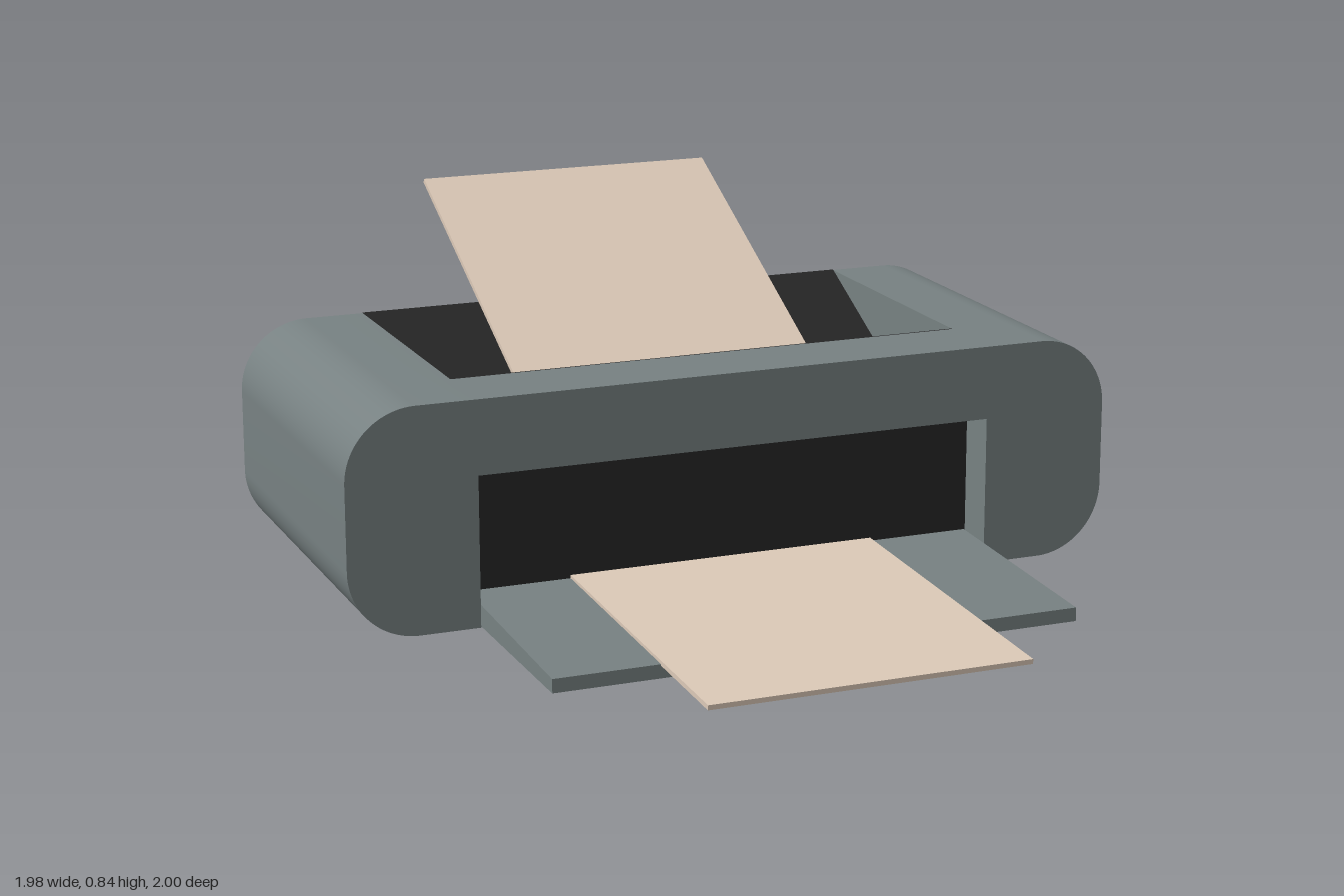
import * as THREE from 'three';
import { toCreasedNormals } from 'three/addons/utils/BufferGeometryUtils.js';

export function createModel() {
  const grey = new THREE.MeshStandardMaterial({ color: 0x778182 });
  grey.name = 'casing grey';
  const black = new THREE.MeshStandardMaterial({ color: 0x262626 });
  black.name = 'inner black';
  const cream = new THREE.MeshStandardMaterial({ color: 0xdcc9b7 });
  cream.name = 'paper cream';

  const model = new THREE.Group();
  model.name = 'printer';
  const add = (name, geometry, material) => {
    const mesh = new THREE.Mesh(geometry, material);
    mesh.name = name;
    model.add(mesh);
    return mesh;
  };

  const W = 0.99, H = 0.56, R = 0.175, inner = 0.665, back = -0.7, front = 0.23;

  // Extrudes a [z, y] side profile across the width
  const acrossWidth = (points, halfWidth) => {
    const shape = new THREE.Shape(points.map(([z, y]) => new THREE.Vector2(-z, y)));
    const geo = new THREE.ExtrudeGeometry(shape, { depth: halfWidth * 2, bevelEnabled: false });
    return geo.translate(0, 0, -halfWidth).rotateY(Math.PI / 2);
  };

  // Thin plate or sheet running between two [z, y] points
  const sheet = (name, a, b, width, thickness, material) => {
    const dz = b[0] - a[0], dy = b[1] - a[1];
    const mesh = add(name, new THREE.BoxGeometry(width, thickness, Math.hypot(dz, dy)), material);
    mesh.position.set(0, (a[1] + b[1]) / 2, (a[0] + b[0]) / 2);
    mesh.rotation.x = -Math.atan2(dy, dz);
  };

  // Rounded casing ends
  for (const s of [-1, 1]) {
    const end = new THREE.Shape();
    end.moveTo(s * inner, 0);
    end.lineTo(s * (W - R), 0);
    end.absarc(s * (W - R), R, R, -Math.PI / 2, s > 0 ? 0 : -Math.PI, s < 0);
    end.lineTo(s * W, H - R);
    end.absarc(s * (W - R), H - R, R, s > 0 ? 0 : Math.PI, Math.PI / 2, s < 0);
    end.lineTo(s * inner, H);
    const geo = new THREE.ExtrudeGeometry(end, { depth: front - back, bevelEnabled: false, curveSegments: 14 });
    geo.translate(0, 0, back);
    add(s > 0 ? 'leftCasing' : 'rightCasing', toCreasedNormals(geo, 0.5), grey);
  }

  // Middle casing with the V-shaped feed well and the front recess
  const valley = [-0.105, 0.262], wellFront = [0.03, H], recess = 0.12, recessTop = 0.375;
  add('middleCasing', acrossWidth([
    [back, 0], [back, H], valley, wellFront, [front, H],
    [front, recessTop], [recess, recessTop], [recess, 0],
  ], inner), grey);

  // Dark linings
  sheet('feedSlope', [back, H], valley, inner * 2, 0.004, black);
  sheet('feedStop', valley, wellFront, inner * 2, 0.004, black);
  sheet('recessBack', [recess, 0.03], [recess, recessTop], inner * 2, 0.004, black);

  // Output tray, slightly sloping to the front
  add('outputTray', acrossWidth([[recess, 0], [recess, 0.058], [0.72, 0.034], [0.72, 0]], 0.662), grey);

  // Paper sheets
  sheet('inputPaper', [-0.997, 0.833], [-0.073, 0.362], 0.8, 0.012, cream);
  sheet('outputPaper', [recess, 0.06], [1, 0.025], 0.8, 0.012, cream);

  return model;
}
